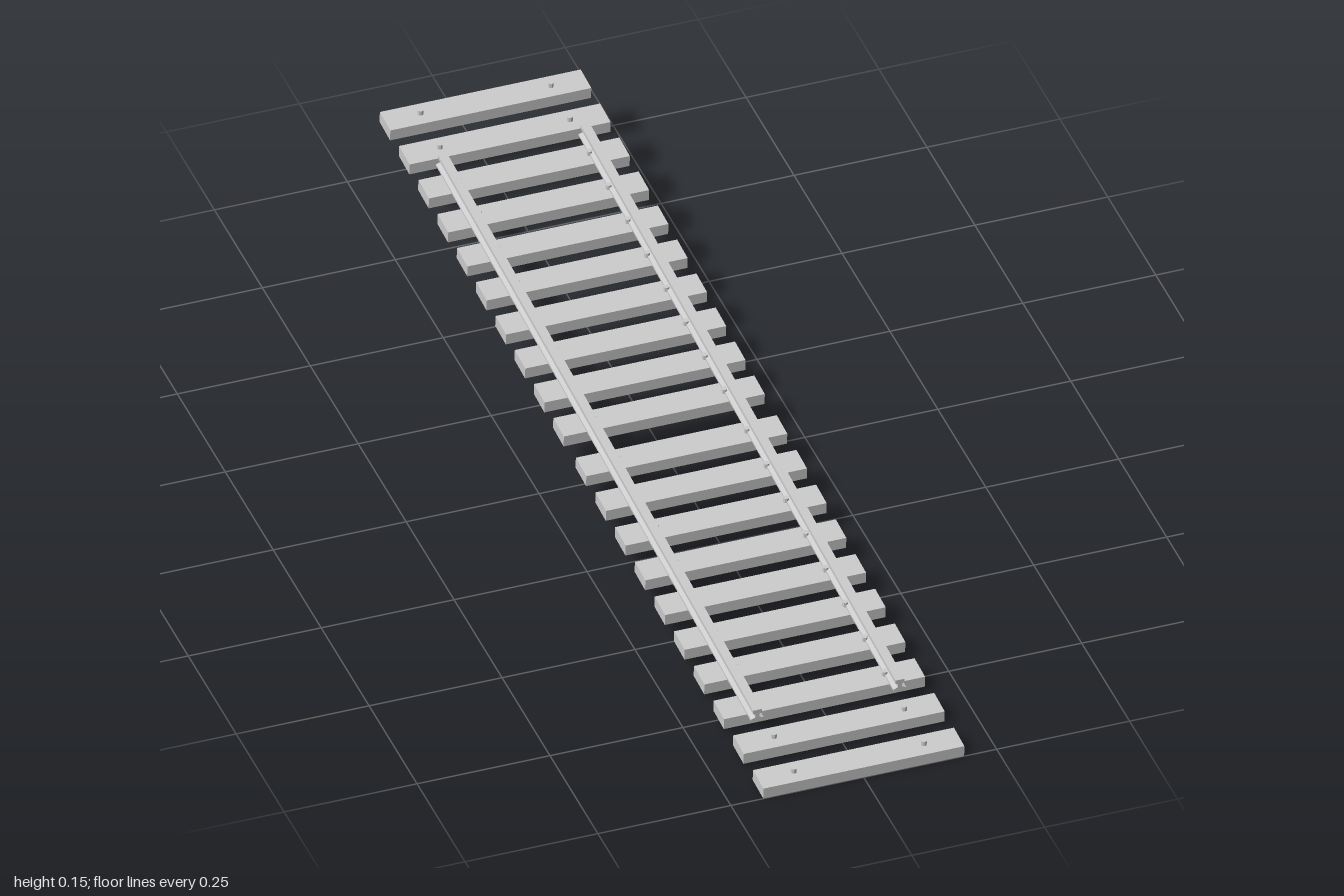
import * as THREE from 'three';

export function createModel() {
  const model = new THREE.Group();
  const mat = new THREE.MeshStandardMaterial({ color: 0xcccccc, flatShading: true, side: THREE.DoubleSide });
  const TILT = 0.0575, TIE_H = 0.0225, TIE_D = 0.055;

  // The whole track lies on a gentle incline, rising towards the back
  const track = new THREE.Group();
  track.name = 'inclinedTrack';
  track.rotation.x = TILT;
  track.position.y = 0.0689;
  model.add(track);

  const add = (name, geo, x, y, z) => {
    const mesh = new THREE.Mesh(geo, mat);
    mesh.name = name;
    mesh.position.set(x, y, z);
    track.add(mesh);
  };

  const tieGeo = new THREE.BoxGeometry(0.378, TIE_H, TIE_D);
  // The rearmost tie is hollow, with its back face left open
  const openTieGeo = tieGeo.clone();
  openTieGeo.setIndex(Array.from(tieGeo.index.array).slice(0, 30));
  openTieGeo.clearGroups();
  const boltGeo = new THREE.CylinderGeometry(0.0055, 0.0055, 0.031, 8);

  // Two sections of ten ties, slightly different spacing, wider gap between
  const addTie = (z, geo) => {
    add('tie', geo, 0, 0, z);
    for (const side of [-1, 1]) add('bolt', boltGeo, side * 0.1225, 0.005, z);
  };
  for (let i = 0; i < 10; i++) {
    addTie(-0.9745 + i * 0.1007, i === 0 ? openTieGeo : tieGeo);
    addTie(0.9745 - i * 0.1028, tieGeo);
  }

  // Rail cross-section: wide foot, narrow web, square head
  const half = [[0.012, 0], [0.012, 0.004], [0.004, 0.007], [0.004, 0.014], [0.0085, 0.016], [0.0085, 0.0235]];
  const outline = [...half, ...half.map(([x, y]) => [-x, y]).reverse()];
  const railShape = new THREE.Shape(outline.map(([x, y]) => new THREE.Vector2(x, y)));
  const railGeo = new THREE.ExtrudeGeometry(railShape, { depth: 1.645, bevelEnabled: false });
  railGeo.translate(0, 0, -0.8225);
  for (const side of [-1, 1]) add(side > 0 ? 'leftRail' : 'rightRail', railGeo, side * 0.134, TIE_H / 2, -0.005);

  return model;
}
